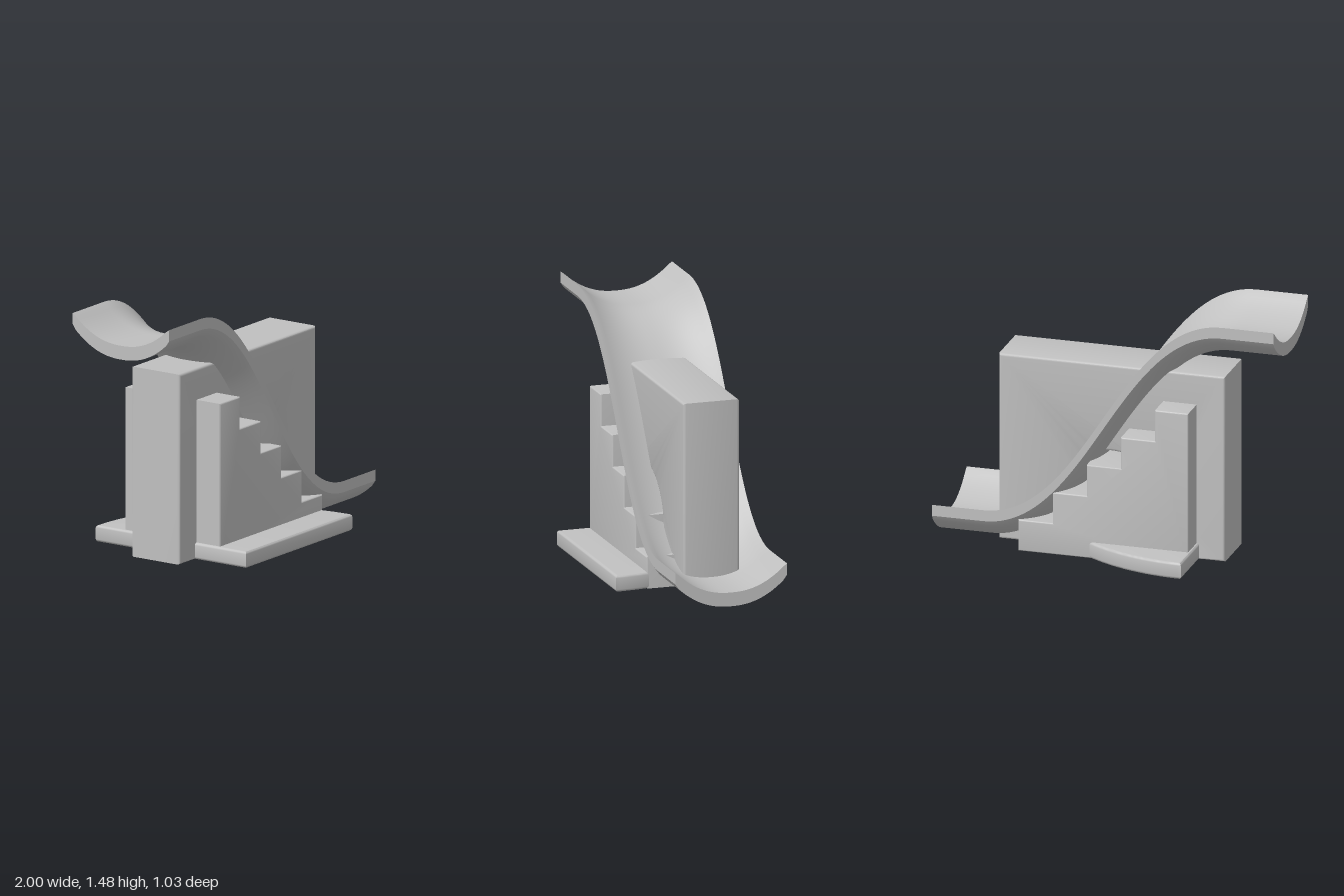
import * as THREE from 'three';
import { toCreasedNormals } from 'three/addons/utils/BufferGeometryUtils.js';

const grey = new THREE.MeshStandardMaterial({ color: 0xc0c0c0 });
grey.name = 'light grey';

function part(name, geometry) {
  const mesh = new THREE.Mesh(geometry, grey);
  mesh.name = name;
  return mesh;
}

// Extrudes an outline by depth, centred on z = 0, with softly rounded edges
function roundedExtrude(shape, depth, r) {
  const g = new THREE.ExtrudeGeometry(shape, {
    depth: depth - 2 * r, bevelThickness: r, bevelSize: r, bevelOffset: -r,
    bevelSegments: 3, curveSegments: 40,
  });
  g.translate(0, 0, r - depth / 2);
  return toCreasedNormals(g, 0.6);
}

// S-curved trough: one curved cross-section carried along the path
function slideGeometry() {
  const halfWidth = 0.33, thick = 0.08, n = 32;
  const curve = new THREE.CubicBezierCurve(
    new THREE.Vector2(-0.7, 1.235), new THREE.Vector2(-0.1, 1.235),
    new THREE.Vector2(0.1, 0), new THREE.Vector2(0.7, 0));
  const path = [new THREE.Vector2(-1, 1.235), ...curve.getPoints(48), new THREE.Vector2(1, 0)];

  const lower = [], upper = [];
  for (let k = 0; k <= n; k++) {
    const u = (2 * k) / n - 1;
    const edge = k === 0 || k === n;
    const y = 0.145 * Math.pow(Math.abs(u), 2.3);
    lower.push([u * halfWidth, y + (edge ? 0.01 : 0)]);
    upper.push([u * halfWidth, y + thick - (edge ? 0.005 : 0)]);
  }
  const loop = [...lower, ...upper.reverse()];
  const m = loop.length, last = (path.length - 1) * m;
  const positions = [], index = [];
  for (const p of path) for (const [z, y] of loop) positions.push(p.x, p.y + y, z);
  for (let i = 0; i < path.length - 1; i++) {
    for (let j = 0; j < m; j++) {
      const a = i * m + j, c = i * m + (j + 1) % m;
      index.push(a, a + m, c, c, a + m, c + m);
    }
  }
  // End caps
  for (let k = 0; k < n; k++) {
    const a = k, b = k + 1, c = m - 2 - k, d = m - 1 - k;
    index.push(a, b, c, a, c, d);
    index.push(last + a, last + c, last + b, last + a, last + d, last + c);
  }
  const g = new THREE.BufferGeometry();
  g.setAttribute('position', new THREE.Float32BufferAttribute(positions, 3));
  g.setIndex(index);
  return toCreasedNormals(g, 0.6);
}

export function createModel() {
  const model = new THREE.Group();
  model.name = 'playgroundSlide';

  model.add(part('slide', slideGeometry()));

  // Upright block with a round tunnel through it
  const wall = new THREE.Shape();
  wall.moveTo(-0.665, 0).lineTo(0.66, 0).lineTo(0.66, 1.1).lineTo(-0.665, 1.1).closePath();
  const tunnel = new THREE.Path();
  tunnel.absarc(0, 0.29, 0.3, 0, Math.PI * 2, true);
  wall.holes.push(tunnel);
  model.add(part('block', roundedExtrude(wall, 0.33, 0.015)));

  // Five steps falling towards +x
  const steps = new THREE.Shape();
  steps.moveTo(-0.5, 0).lineTo(0.495, 0);
  for (let i = 0; i < 5; i++) {
    const x = 0.495 - i * 0.2, y = 0.184 * (i + 1);
    steps.lineTo(x, y).lineTo(i === 4 ? -0.5 : x - 0.2, y);
  }
  steps.closePath();
  model.add(part('stairs', roundedExtrude(steps, 0.654, 0.008)));

  // Quarter-disc base plate
  const plate = new THREE.Shape();
  plate.moveTo(0, 0).lineTo(1.03, 0);
  plate.absarc(0, 0, 1.03, 0, Math.PI / 2, false);
  plate.closePath();
  const base = part('base', roundedExtrude(plate, 0.096, 0.015));
  base.rotation.x = -Math.PI / 2;
  base.position.set(-0.515, 0.048, 0.515);
  model.add(base);

  return model;
}
